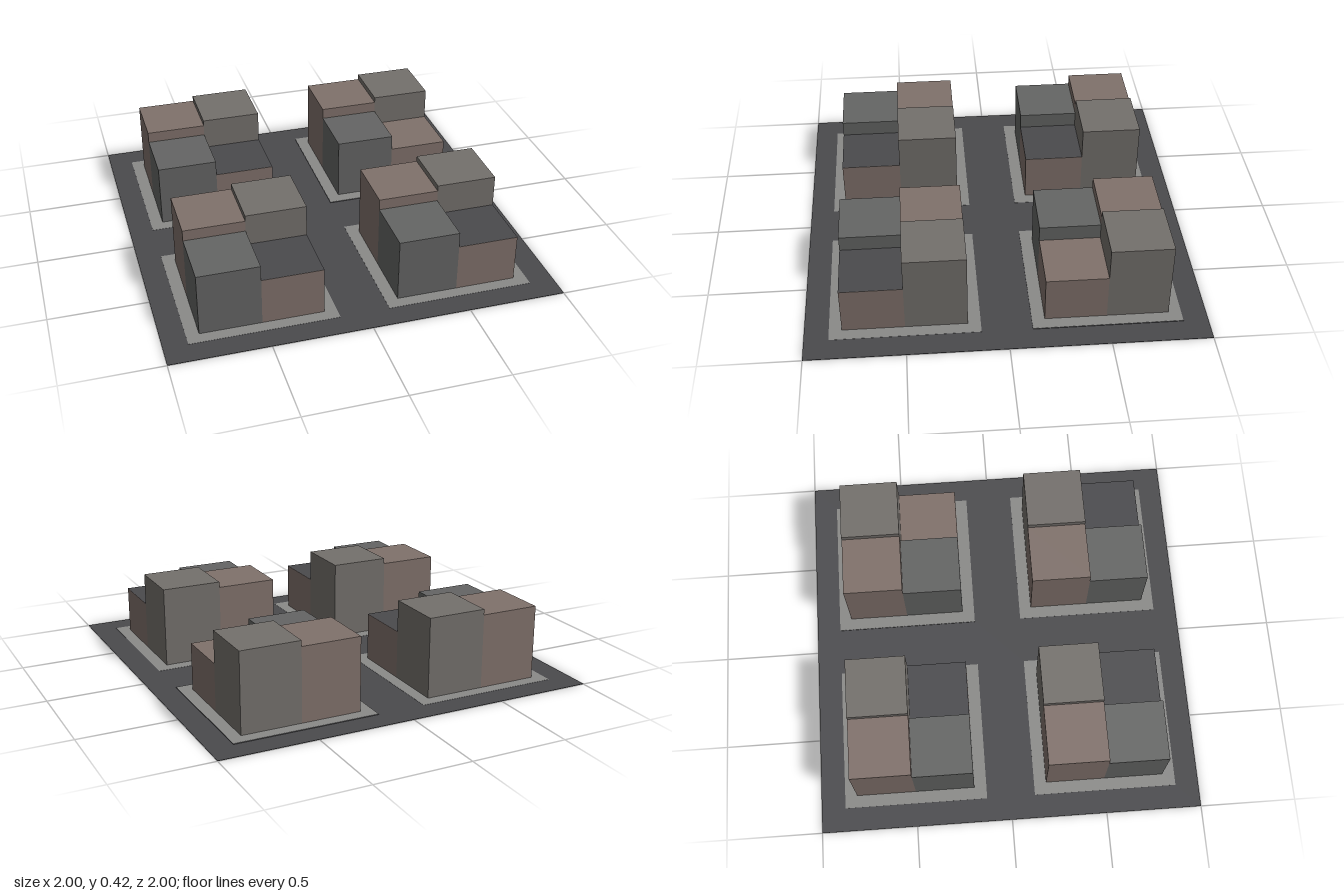
import * as THREE from 'three';

const paint = (color) => new THREE.MeshStandardMaterial({ color });
const ASPHALT = paint(0x4a4a4d);
const PAVING = paint(0x8a8a88);
const BRICK = paint(0x80716b);
const TAUPE = paint(0x74706c);
const SLATE = paint(0x646564);

// Box standing on height y, centred on x and z
function block(name, material, w, h, d, x, y, z) {
  const mesh = new THREE.Mesh(new THREE.BoxGeometry(w, h, d), material);
  mesh.name = name;
  mesh.position.set(x, y + h / 2, z);
  return mesh;
}

// One city block: pavement with four touching buildings of different heights
function cityBlock(name, x, z, raised) {
  const group = new THREE.Group();
  group.name = name;
  group.position.set(x, 0, z);

  const kerb = raised ? 0.006 : 0.003;
  group.add(block('pavement', PAVING, 0.75, kerb - 0.001, 0.75, 0, 0.001, 0));
  if (raised) group.add(block('kerb', ASPHALT, 0.752, 0.004, 0.752, 0, 0.001, 0));

  const size = 0.311;
  const buildings = [
    ['backRightBuilding', BRICK, 0.39, -1, -1],
    ['backLeftBuilding', TAUPE, 0.42, 1, -1],
    ['frontRightBuilding', SLATE, 0.333, -1, 1],
    ['frontLeftBuilding', BRICK, 0.252, 1, 1],
  ];
  for (const [label, material, height, sx, sz] of buildings) {
    group.add(block(label, material, size, height - 0.002, size, sx * size / 2, 0.002, sz * size / 2));
  }

  // Dark roof covering on the lowest building
  if (!raised) {
    const roof = new THREE.Mesh(new THREE.PlaneGeometry(size, size), ASPHALT);
    roof.name = 'lowRoof';
    roof.rotation.x = -Math.PI / 2;
    roof.position.set(size / 2, 0.253, size / 2);
    group.add(roof);
  }
  return group;
}

export function createModel() {
  const model = new THREE.Group();
  model.name = 'cityBlocks';

  // Street surface
  model.add(block('street', ASPHALT, 2, 0.002, 2, 0, 0, 0));

  // Four blocks around the crossing
  for (const x of [-0.503, 0.498]) {
    for (const z of [-0.5, 0.504]) {
      const name = (z < 0 ? 'back' : 'front') + (x < 0 ? 'Right' : 'Left') + 'Block';
      model.add(cityBlock(name, x, z, x > 0 && z < 0));
    }
  }
  return model;
}
